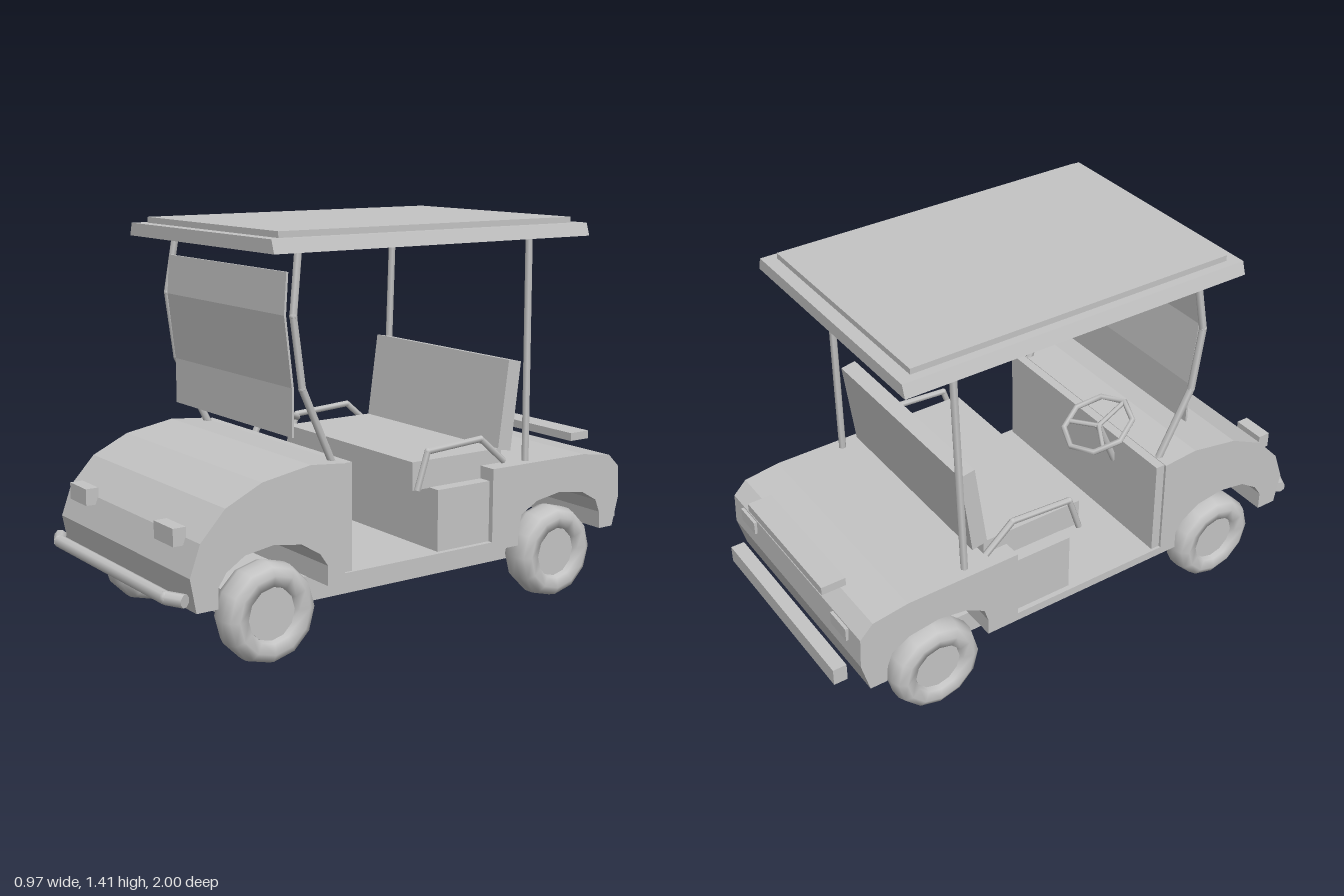
import * as THREE from 'three';

const grey = new THREE.MeshStandardMaterial({ color: 0xc4c4c4 });
grey.name = 'plain grey';

const v = (x, y, z) => new THREE.Vector3(x, y, z);

export function createModel() {
  const cart = new THREE.Group();
  cart.name = 'golfCart';

  const add = (name, geometry, parent = cart) => {
    const mesh = new THREE.Mesh(geometry, grey);
    mesh.name = name;
    parent.add(mesh);
    return mesh;
  };

  // Box given by its limits on each axis
  const box = (name, x0, x1, y0, y1, z0, z1) =>
    add(name, new THREE.BoxGeometry(x1 - x0, y1 - y0, z1 - z0)
      .translate((x0 + x1) / 2, (y0 + y1) / 2, (z0 + z1) / 2));

  // Side profile of [z, y] points, extruded across the width
  const slab = (name, points, halfWidth) => {
    const shape = new THREE.Shape(points.map(([z, y]) => new THREE.Vector2(z, y)));
    const geo = new THREE.ExtrudeGeometry(shape, { depth: 2 * halfWidth, bevelEnabled: false });
    return add(name, geo.translate(0, 0, -halfWidth).rotateY(-Math.PI / 2));
  };

  // Bent bar with straight runs between the points
  const bar = (name, points, radius, sides = 6, parent = cart) => {
    const path = new THREE.CurvePath();
    for (let i = 1; i < points.length; i++) path.add(new THREE.LineCurve3(points[i - 1], points[i]));
    const group = new THREE.Group();
    group.name = name;
    parent.add(group);
    path.curves.forEach((line, i) => {
      const length = line.getLength();
      const geo = new THREE.CylinderGeometry(radius, radius, length, sides);
      const run = add(name + 'Run', geo, group);
      run.position.copy(line.getPoint(0.5));
      const dir = line.v2.clone().sub(line.v1).normalize();
      run.quaternion.setFromUnitVectors(v(0, 1, 0), dir);
      // Joint filling the bend
      if (i > 0) add(name + 'Joint', new THREE.SphereGeometry(radius, 8, 6), group).position.copy(line.v1);
    });
    return group;
  };

  // Chassis and floor
  box('chassis', -0.34, 0.34, 0.145, 0.236, -0.75, 0.72);
  box('floor', -0.47, 0.47, 0.235, 0.267, -0.31, 0.345);

  // Front cowl with wheel arch
  slab('frontCowl', [
    [0.34, 0.235], [0.41, 0.235], [0.41, 0.305], [0.44, 0.35], [0.513, 0.395], [0.62, 0.412],
    [0.73, 0.395], [0.80, 0.35], [0.83, 0.305], [0.83, 0.235], [0.91, 0.235], [0.932, 0.353],
    [0.893, 0.46], [0.80, 0.56], [0.663, 0.625], [0.476, 0.657], [0.34, 0.645],
  ], 0.47);
  box('firewall', -0.46, 0.46, 0.267, 0.643, 0.305, 0.341);

  // Rear body with wheel arch
  slab('rearBody', [
    [-0.305, 0.235], [-0.305, 0.537], [-0.745, 0.535], [-0.88, 0.515], [-0.93, 0.465],
    [-0.935, 0.35], [-0.905, 0.235], [-0.84, 0.235], [-0.835, 0.30], [-0.815, 0.35],
    [-0.745, 0.39], [-0.63, 0.407], [-0.52, 0.39], [-0.445, 0.35], [-0.43, 0.30], [-0.43, 0.235],
  ], 0.47);

  // Seat
  box('seatBase', -0.45, 0.45, 0.267, 0.49, -0.306, -0.07);
  box('seatCushion', -0.40, 0.40, 0.488, 0.59, -0.40, 0.005);
  slab('seatBack', [[-0.385, 0.585], [-0.43, 0.91], [-0.487, 0.90], [-0.445, 0.575]], 0.40);

  // Roof: slab with sloping sides and a raised panel
  const roof = new THREE.BoxGeometry(0.97, 0.046, 1.345);
  const pos = roof.attributes.position;
  for (let i = 0; i < pos.count; i++) if (pos.getY(i) > 0) pos.setX(i, Math.sign(pos.getX(i)) * 0.47);
  roof.translate(0, 1.371, -0.053);
  roof.computeVertexNormals();
  add('roof', roof);
  box('roofPanel', -0.437, 0.437, 1.393, 1.415, -0.677, 0.573);

  // Bent windshield
  slab('windshield', [
    [0.496, 0.735], [0.496, 0.90], [0.524, 1.14], [0.514, 1.28],
    [0.506, 1.28], [0.516, 1.14], [0.488, 0.90], [0.488, 0.735],
  ], 0.39);

  // Mirrored parts
  for (const s of [-1, 1]) {
    const side = s > 0 ? 'left' : 'right';
    bar(side + 'FrontPost', [
      v(s * 0.405, 1.35, 0.478), v(s * 0.42, 1.14, 0.508), v(s * 0.42, 0.90, 0.475), v(s * 0.41, 0.635, 0.35),
    ], 0.014);
    bar(side + 'RearPost', [v(s * 0.405, 1.35, -0.508), v(s * 0.425, 0.53, -0.495)], 0.014);
    bar(side + 'Armrest', [
      v(s * 0.415, 0.49, -0.005), v(s * 0.415, 0.625, -0.05), v(s * 0.415, 0.64, -0.29), v(s * 0.415, 0.545, -0.40),
    ], 0.012);
    const lampX = (a, b) => (s > 0 ? [a, b] : [-b, -a]);
    box(side + 'Headlight', ...lampX(0.25, 0.377), 0.435, 0.495, 0.89, 0.938);
    box(side + 'TailLight', ...lampX(0.285, 0.39), 0.41, 0.46, -0.942, -0.92);

    for (const [end, z] of [['Front', 0.62], ['Rear', -0.63]]) {
      const wheel = new THREE.Group();
      wheel.name = side + end + 'Wheel';
      wheel.position.set(s * 0.408, 0.173, z);
      wheel.rotation.z = -s * Math.PI / 2;
      cart.add(wheel);
      // Rounded tyre
      const profile = [
        [0, -0.05], [0.095, -0.055], [0.135, -0.068], [0.162, -0.052], [0.173, -0.02],
        [0.173, 0.02], [0.162, 0.052], [0.135, 0.068], [0.098, 0.06], [0.09, 0.03],
      ].map(([r, y]) => new THREE.Vector2(r, y));
      add('tyre', new THREE.LatheGeometry(profile, 12), wheel);
      add('hub', new THREE.CylinderGeometry(0.092, 0.092, 0.04, 12), wheel).position.y = 0.02;
    }
  }

  // Bumpers and rear shelf
  bar('frontBumper', [
    v(-0.46, 0.281, 0.945), v(-0.395, 0.281, 0.977), v(0.395, 0.281, 0.977), v(0.46, 0.281, 0.945),
  ], 0.023, 8);
  box('rearBumper', -0.39, 0.39, 0.24, 0.305, -1, -0.948);
  box('rearShelf', -0.273, 0.273, 0.535, 0.566, -0.96, -0.868);

  // Steering wheel, lying flat in its group before tilting
  const steering = new THREE.Group();
  steering.name = 'steeringWheel';
  steering.position.set(-0.205, 0.72, 0.23);
  steering.rotation.x = -Math.atan2(0.112, 0.258);
  cart.add(steering);
  add('steeringRim', new THREE.TorusGeometry(0.131, 0.011, 6, 8).rotateX(Math.PI / 2), steering);
  for (let i = 0; i < 3; i++) {
    const a = Math.PI / 2 + (i * 2 * Math.PI) / 3;
    bar('spoke', [v(0, -0.01, 0), v(Math.cos(a) * 0.127, 0, Math.sin(a) * 0.127)], 0.009, 6, steering);
  }
  bar('steeringColumn', [v(-0.205, 0.715, 0.232), v(-0.205, 0.53, 0.312)], 0.014);

  return cart;
}
